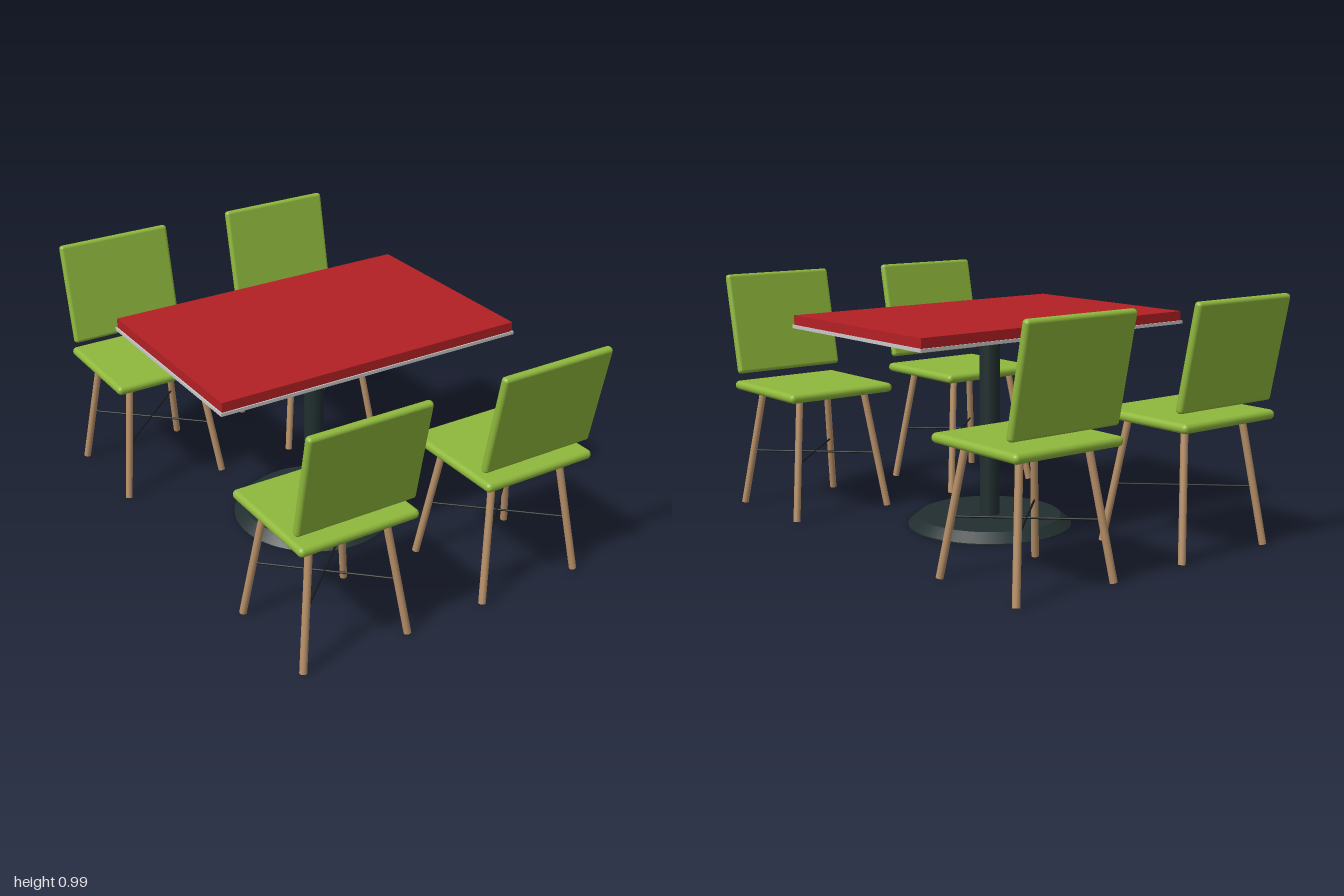
import * as THREE from 'three';
import { RoundedBoxGeometry } from 'three/addons/geometries/RoundedBoxGeometry.js';

const mat = (name, color) => {
  const m = new THREE.MeshStandardMaterial({ color });
  m.name = name;
  return m;
};

export function createModel() {
  const green = mat('green upholstery', 0x8fb83c);
  const red = mat('red tabletop', 0xb22024);
  const grey = mat('light grey trim', 0xc8c8c8);
  const iron = mat('dark iron', 0x212e2f);
  const wood = mat('light wood', 0xb58e66);
  const black = mat('black rod', 0x181c1c);

  const add = (parent, name, geometry, material, x = 0, y = 0, z = 0) => {
    const mesh = new THREE.Mesh(geometry, material);
    mesh.name = name;
    mesh.position.set(x, y, z);
    parent.add(mesh);
    return mesh;
  };

  // Round bar between two points
  const bar = (parent, name, a, b, rA, rB, material) => {
    const dir = b.clone().sub(a);
    const mesh = add(parent, name, new THREE.CylinderGeometry(rB, rA, dir.length(), 16), material);
    mesh.position.copy(a).add(b).multiplyScalar(0.5);
    mesh.quaternion.setFromUnitVectors(new THREE.Vector3(0, 1, 0), dir.normalize());
  };

  const model = new THREE.Group();
  model.name = 'diningSet';

  // Pedestal table
  const table = new THREE.Group();
  table.name = 'table';
  model.add(table);
  add(table, 'tabletop', new THREE.BoxGeometry(1.3, 0.038, 0.856), red, 0, 0.848, 0);
  add(table, 'tabletopTrim', new THREE.BoxGeometry(1.312, 0.013, 0.866), grey, 0, 0.8225, 0);
  add(table, 'supportBarAcross', new THREE.BoxGeometry(0.51, 0.021, 0.07), iron, 0, 0.8055, 0);
  add(table, 'supportBarDeep', new THREE.BoxGeometry(0.07, 0.02, 0.51), iron, 0, 0.805, 0);
  add(table, 'column', new THREE.CylinderGeometry(0.041, 0.041, 0.765, 32), iron, 0, 0.4175, 0);
  add(table, 'base', new THREE.CylinderGeometry(0.292, 0.335, 0.036, 64), iron, 0, 0.022, 0);
  add(table, 'baseRim', new THREE.CylinderGeometry(0.335, 0.335, 0.004, 64), iron, 0, 0.002, 0);

  // Chair centred on its seat, with the backrest towards +z
  const makeChair = (name) => {
    const chair = new THREE.Group();
    chair.name = name;
    add(chair, 'seat', new RoundedBoxGeometry(0.496, 0.038, 0.477, 5, 0.0185), green, 0, 0.518, 0);
    const back = add(chair, 'backrest',
      new RoundedBoxGeometry(0.496, 0.424, 0.033, 5, 0.014), green, 0, 0.779, 0.237);
    back.rotation.x = 0.203;

    // Splayed legs
    for (const sx of [-1, 1]) for (const sz of [-1, 1]) {
      bar(chair, 'leg', new THREE.Vector3(sx * 0.225, 0.004, sz * 0.215),
        new THREE.Vector3(sx * 0.157, 0.503, sz * 0.147), 0.0145, 0.0145, wood);
    }
    // Crossed rods joining opposite legs
    for (const s of [-1, 1]) {
      bar(chair, 'crossRod', new THREE.Vector3(-0.19, 0.234, -s * 0.18),
        new THREE.Vector3(0.19, 0.234, s * 0.18), 0.004, 0.004, black);
    }
    return chair;
  };

  // Four chairs facing the table
  for (const sx of [-1, 1]) for (const sz of [-1, 1]) {
    const chair = makeChair((sz > 0 ? 'front' : 'back') + (sx > 0 ? 'Left' : 'Right') + 'Chair');
    chair.position.set(sx * 0.398, 0, sz * 0.7065);
    if (sz < 0) chair.rotation.y = Math.PI;
    model.add(chair);
  }
  return model;
}
